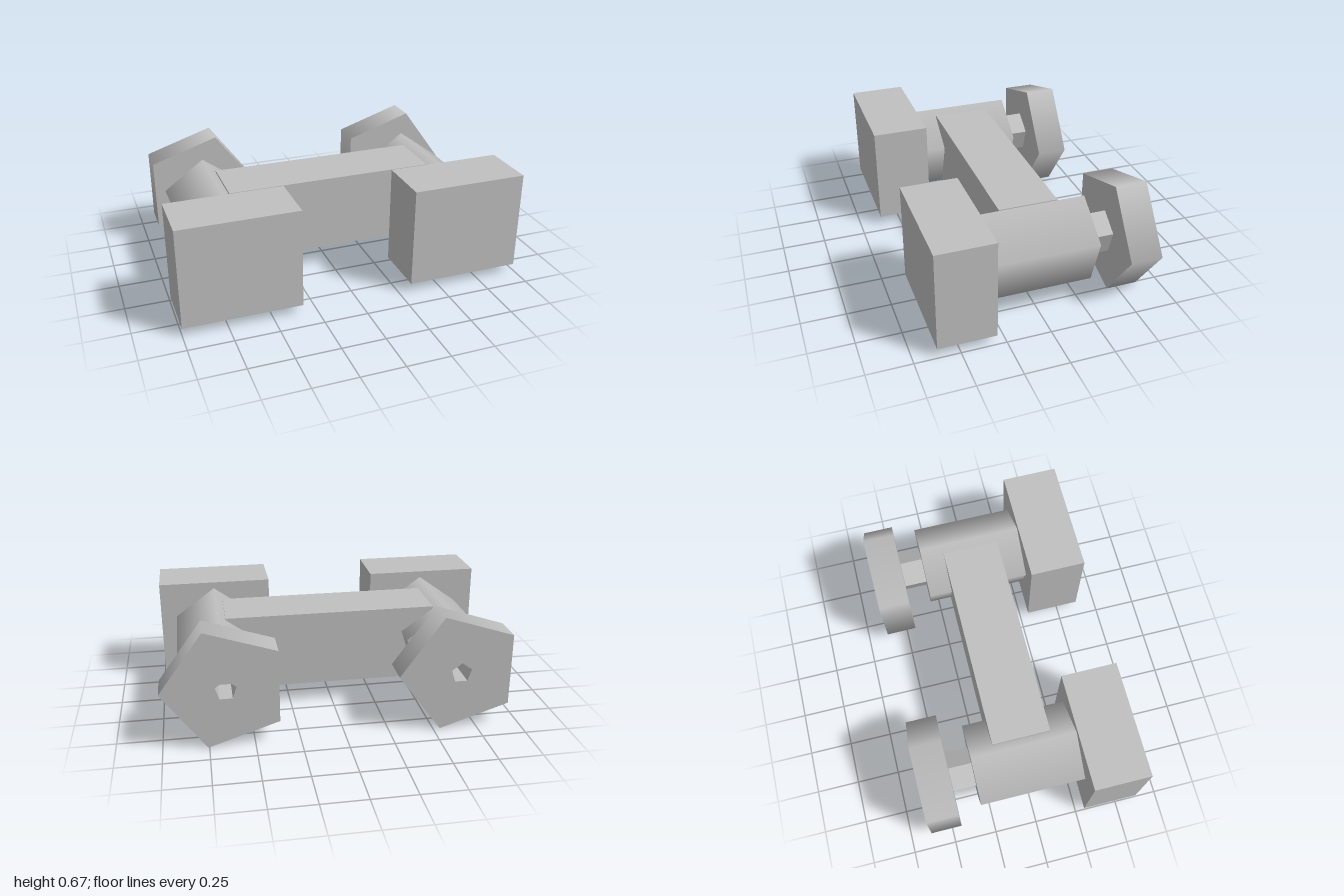
import * as THREE from 'three';

const grey = new THREE.MeshStandardMaterial({ color: 0xc0c0c0 });
grey.name = 'plain grey';

const SIDES = 5;

function addPart(parent, name, geometry, x, y, z) {
  const mesh = new THREE.Mesh(geometry, grey);
  mesh.name = name;
  mesh.position.set(x, y, z);
  parent.add(mesh);
  return mesh;
}

// Five-sided prism along z; start 0 points a corner up, PI/2 points it to +x
function prism(radius, length, start = 0, open = false) {
  return new THREE.CylinderGeometry(radius, radius, length, SIDES, 1, open, start)
    .rotateX(-Math.PI / 2);
}

function faceted(geometry) {
  const flat = geometry.toNonIndexed();
  flat.computeVertexNormals();
  return flat;
}

function pentagon(radius, start) {
  return Array.from({ length: SIDES }, (_, i) => {
    const a = start + (i / SIDES) * Math.PI * 2;
    return new THREE.Vector2(radius * Math.cos(a), radius * Math.sin(a));
  });
}

// Eyecup: smooth rim, plain front cap, and a rear cap pierced by a small bore
function makeEyecup(radius, depth, boreRadius) {
  const eyecup = new THREE.Group();
  eyecup.name = 'eyecup';
  addPart(eyecup, 'eyecupRim', prism(radius, depth, Math.PI / 2, true), 0, 0, 0);
  addPart(eyecup, 'eyecupFrontCap',
    new THREE.ShapeGeometry(new THREE.Shape(pentagon(radius, 0))), 0, 0, depth / 2);

  const rear = new THREE.Shape(pentagon(radius, Math.PI));
  rear.holes.push(new THREE.Path(pentagon(boreRadius, Math.PI / 2)));
  addPart(eyecup, 'eyecupRearCap',
    new THREE.ShapeGeometry(rear).rotateY(Math.PI), 0, 0, -depth / 2);

  // Mirrored so the faces look inward
  const bore = faceted(prism(boreRadius, depth, 0, true).scale(-1, 1, 1));
  addPart(eyecup, 'eyecupBore', bore, 0, 0, 0);

  // Floor of the bore
  addPart(eyecup, 'boreFloor',
    new THREE.ShapeGeometry(new THREE.Shape(pentagon(boreRadius, Math.PI / 2)))
      .rotateY(Math.PI), 0, 0, depth / 2 - 0.005);
  return eyecup;
}

export function createModel() {
  const model = new THREE.Group();
  model.name = 'binoculars';

  // Bridge joining the two barrels
  addPart(model, 'bridge', new THREE.BoxGeometry(1.22, 0.44, 0.335), 0.005, 0.345, -0.005);

  for (const side of [-1, 1]) {
    const half = new THREE.Group();
    half.name = side > 0 ? 'leftHalf' : 'rightHalf';
    const x = side * 0.658 + 0.003;

    // Square objective housing at the front
    addPart(half, 'objectiveHousing', new THREE.BoxGeometry(0.67, 0.577, 0.325),
      side * 0.66 - 0.005, 0.339, 0.4615);

    // Barrel and the slim neck behind it
    addPart(half, 'barrel', prism(0.248, 0.61), x, 0.342, -0.003);
    addPart(half, 'neck', faceted(prism(0.122, 0.15)), x, 0.346, -0.366);

    const eyecup = makeEyecup(0.352, 0.182, 0.06);
    eyecup.position.set(side * 0.648, 0.335, -0.533);
    half.add(eyecup);

    model.add(half);
  }
  return model;
}
